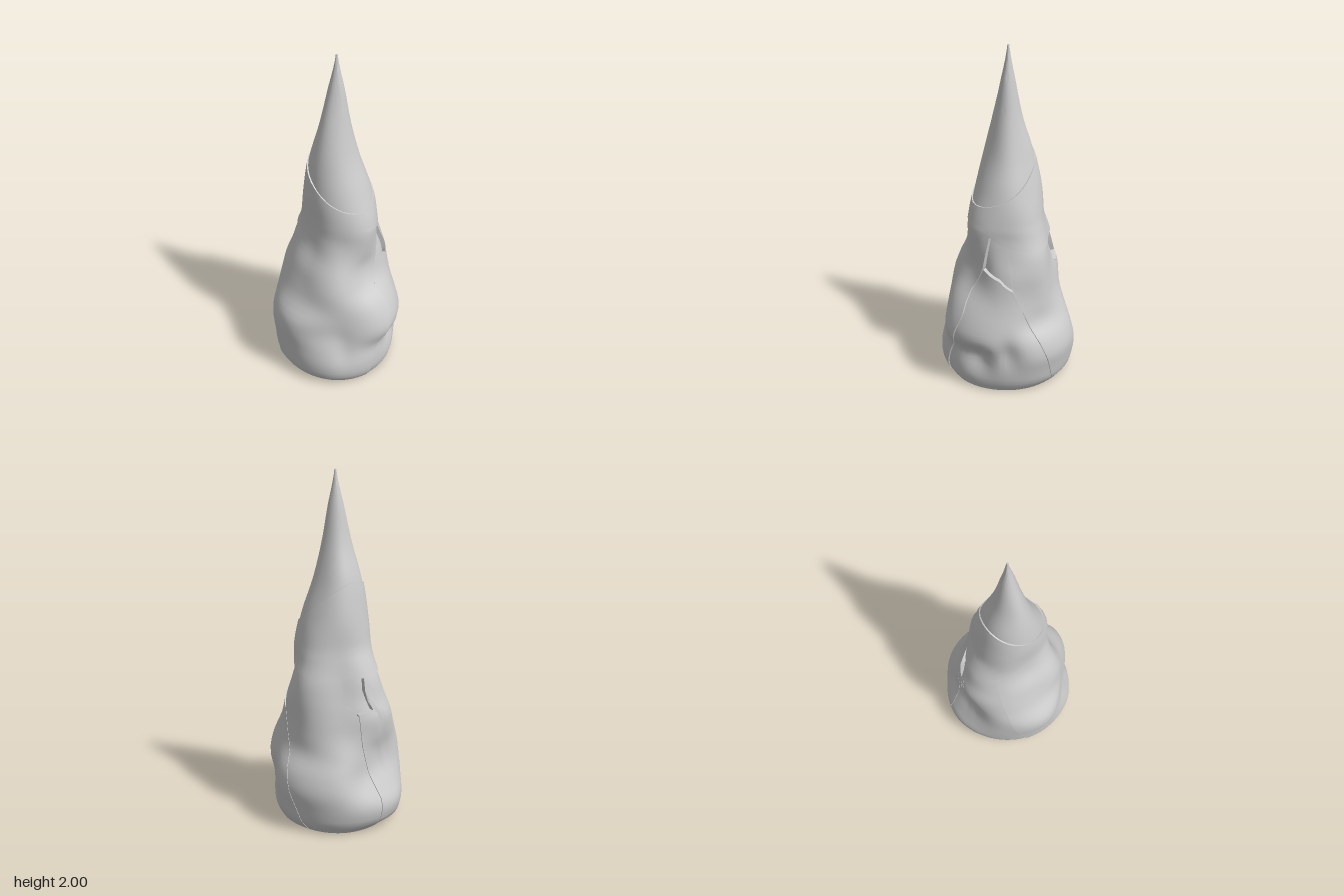
import * as THREE from 'three';
import { toCreasedNormals } from 'three/addons/utils/BufferGeometryUtils.js';

const material = new THREE.MeshStandardMaterial({ color: 0xcccccc, side: THREE.DoubleSide });

// Rock radius by height, in eight directions starting at +x and turning towards +z
const HEIGHTS = [0, 0.05, 0.15, 0.25, 0.35, 0.45, 0.55, 0.65, 0.75, 0.85, 0.95, 1.03, 1.2, 1.4, 1.6, 1.8, 2];
const RADII = [
  [.33, .33, .355, .36, .34, .34, .335, .35],
  [.37, .355, .38, .40, .385, .38, .395, .385],
  [.39, .37, .385, .41, .395, .39, .415, .405],
  [.405, .38, .38, .385, .40, .39, .37, .405],
  [.38, .385, .415, .35, .41, .38, .32, .38],
  [.32, .36, .395, .34, .395, .365, .31, .34],
  [.31, .33, .345, .33, .325, .34, .33, .30],
  [.305, .305, .265, .315, .285, .31, .335, .275],
  [.30, .285, .23, .28, .25, .27, .30, .25],
  [.285, .25, .24, .235, .195, .23, .275, .23],
  [.25, .225, .25, .205, .175, .20, .235, .21],
  [.225, .22, .245, .20, .17, .19, .20, .195],
  [.18, .19, .19, .18, .17, .175, .175, .18],
  [.12, .125, .12, .135, .145, .145, .14, .135],
  [.07, .075, .075, .085, .10, .09, .08, .075],
  [.035, .04, .04, .04, .045, .045, .04, .035],
  [.002, .002, .002, .002, .002, .002, .002, .002],
];

// Hollows pressed into the rock: [angle, height, angular width, height width, depth]
const DENTS = [
  [66, 0.22, 15, 0.09, 0.05],
  [36, 0.28, 9, 0.10, 0.035],
  [128, 0.25, 9, 0.10, 0.015],
  [-62, 0.30, 14, 0.10, 0.025],
  [15, 0.62, 14, 0.12, 0.01],
];

const lerp = THREE.MathUtils.lerp;
const spline = (a, b, c, d, t) =>
  b + 0.5 * t * (c - a + t * (2 * a - 5 * b + 4 * c - d + t * (3 * (b - c) + d - a)));

function ringRadius(row, degrees) {
  const s = (((degrees % 360) + 360) % 360) / 45;
  const k = Math.floor(s);
  const at = (n) => row[(n + 8) % 8];
  return spline(at(k - 1), at(k), at(k + 1), at(k + 2), s - k);
}

function rockRadius(degrees, y) {
  const last = HEIGHTS.length - 1;
  let k = 0;
  while (k < last - 1 && y > HEIGHTS[k + 1]) k++;
  const t = THREE.MathUtils.clamp((y - HEIGHTS[k]) / (HEIGHTS[k + 1] - HEIGHTS[k]), 0, 1);
  const at = (n) => ringRadius(RADII[THREE.MathUtils.clamp(n, 0, last)], degrees);
  let r = spline(at(k - 1), at(k), at(k + 1), at(k + 2), t);
  for (const [angle, height, wide, tall, depth] of DENTS) {
    const turn = ((degrees - angle + 900) % 360) - 180;
    r -= depth * Math.exp(-((turn / wide) ** 2) - ((y - height) / tall) ** 2);
  }
  return Math.max(0, r);
}

// Piecewise-linear curve through [input, output] pairs
function through(points) {
  return (x) => {
    let k = 0;
    while (k < points.length - 2 && x > points[k + 1][0]) k++;
    const [x0, y0] = points[k], [x1, y1] = points[k + 1];
    return lerp(y0, y1, THREE.MathUtils.clamp((x - x0) / (x1 - x0), 0, 1));
  };
}

// Slab of rock between two seams, with borders turned in towards the core
function slab(name, { start, end, bottom, top, offset = 0, columns = 20, rows = 24, ring = false }) {
  const positions = [], index = [];
  for (let i = 0; i <= columns; i++) {
    const u = ring ? i / columns : THREE.MathUtils.clamp((i - 1) / (columns - 2), 0, 1);
    for (let j = 0; j <= rows; j++) {
      const v = THREE.MathUtils.clamp((j - 1) / (rows - 2), 0, 1);
      const y = lerp(bottom(u), top(u), v);
      const degrees = lerp(start(y), end(y), u);
      const border = (!ring && (i === 0 || i === columns)) || j === 0 || j === rows;
      const r = Math.max(0, rockRadius(degrees, y) + offset - (border ? 0.05 : 0));
      const a = THREE.MathUtils.degToRad(degrees);
      positions.push(r * Math.cos(a), y, r * Math.sin(a));
      if (i < columns && j < rows) {
        const p = i * (rows + 1) + j, q = p + rows + 1;
        index.push(p, p + 1, q + 1, p, q + 1, q);
      }
    }
  }
  const geometry = new THREE.BufferGeometry();
  geometry.setAttribute('position', new THREE.Float32BufferAttribute(positions, 3));
  geometry.setIndex(index);
  const mesh = new THREE.Mesh(toCreasedNormals(geometry, 0.8), material);
  mesh.name = name;
  return mesh;
}

export function createModel() {
  const group = new THREE.Group();
  group.name = 'rockSpire';
  const flat = (value) => () => value;
  const full = { start: flat(0), end: flat(360), ring: true, columns: 40 };

  // Seams between the lower slabs: angle by height
  const frontSeam = through([[0, 104], [0.1, 102], [0.22, 97], [0.33, 87], [0.5, 80], [0.63, 84], [0.76, 72], [1.03, 60]]);
  const rightSeam = through([[0, -10], [0.35, 8], [0.7, 33], [0.95, 40]]);
  const backSeam = through([[0, -76], [0.2, -78], [0.5, -66], [0.68, -64], [0.74, -48], [0.95, -44]]);
  const leftSeam = through([[0, 195], [0.5, 214], [0.95, 236]]);

  // Inner core, seen in the gaps
  group.add(slab('core', { ...full, bottom: flat(0.01), top: flat(1.25), offset: -0.025, rows: 36 }));

  // Underside
  const outline = Array.from({ length: 40 }, (_, i) => {
    const a = (i / 40) * Math.PI * 2, r = rockRadius(i * 9, 0);
    return new THREE.Vector2(r * Math.cos(a), r * Math.sin(a));
  });
  const underside = new THREE.Mesh(new THREE.ShapeGeometry(new THREE.Shape(outline)), material);
  underside.rotation.x = Math.PI / 2;
  underside.name = 'underside';
  group.add(underside);

  // Lower slabs
  group.add(slab('frontLeftSlab', {
    start: frontSeam, end: leftSeam, bottom: flat(0), top: flat(1.05), offset: 0.006, columns: 28, rows: 32,
  }));
  group.add(slab('frontBlock', {
    start: rightSeam, end: (y) => frontSeam(y) - 0.5, bottom: flat(0),
    top: through([[0, 0.67], [0.3, 0.73], [1, 0.76]]),
  }));
  group.add(slab('sideSlab', {
    start: backSeam, end: (y) => rightSeam(y) - 0.5, bottom: flat(0), top: flat(0.95), rows: 36,
  }));
  group.add(slab('backBlock', {
    start: (y) => leftSeam(y) - 359.5, end: (y) => backSeam(y) - 0.5, bottom: flat(0),
    top: through([[0, 0.93], [0.62, 0.9], [0.72, 0.7], [1, 0.68]]), rows: 30,
  }));

  // Collar and pointed tip meet on a plane sloping down to the front
  const slope = (u) => 1.27 - 0.135 * Math.sin(u * Math.PI * 2);
  group.add(slab('collar', {
    ...full, offset: 0.01, rows: 16,
    bottom: through([[0, 0.89], [0.12, 0.93], [0.2, 1.0], [0.28, 1.03], [0.42, 1.03], [0.52, 0.99], [0.65, 0.9], [0.78, 0.88], [1, 0.89]]),
    top: slope,
  }));
  group.add(slab('tip', { ...full, bottom: (u) => slope(u) - 0.03, top: flat(2), offset: 0.003, rows: 28 }));

  return group;
}
